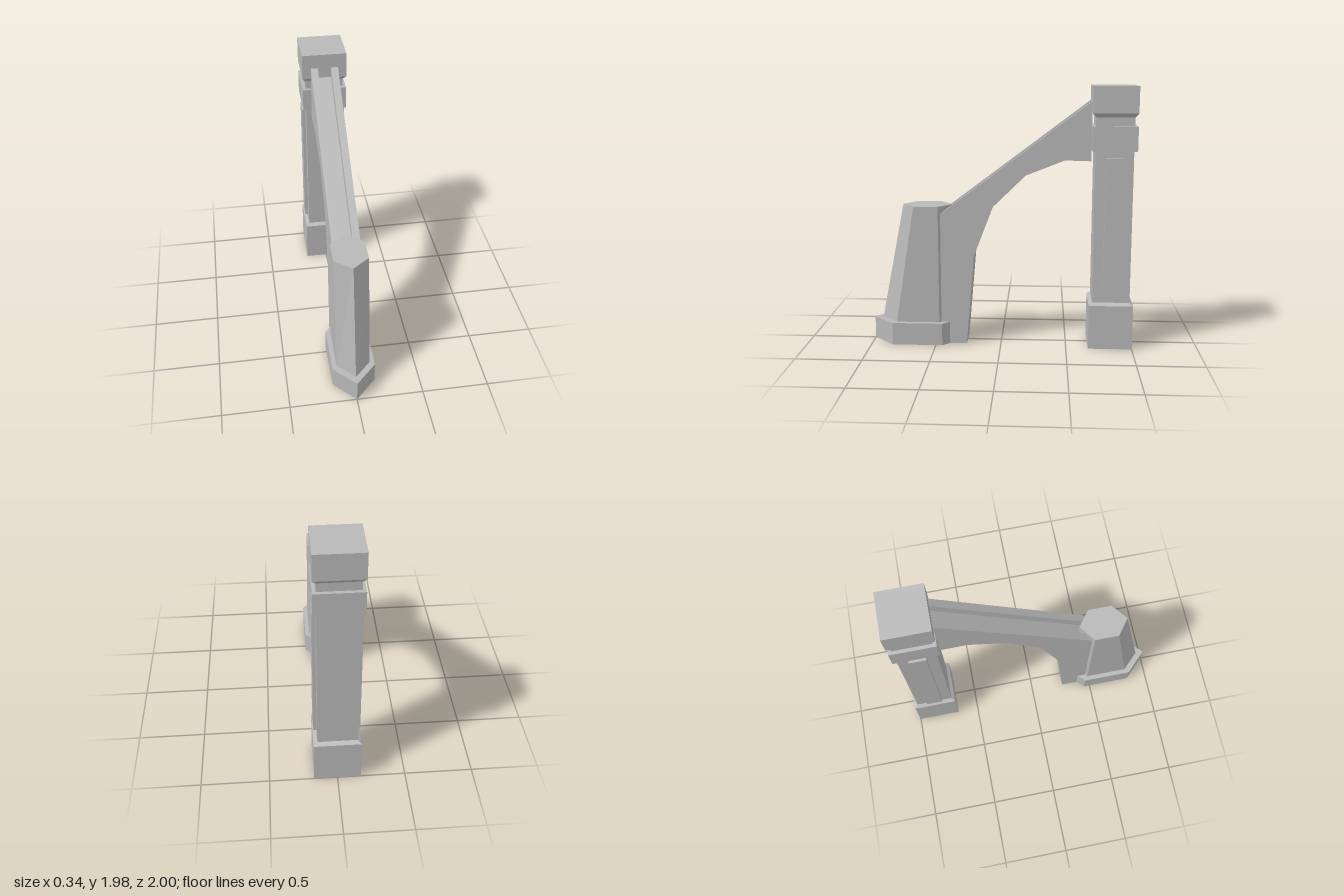
import * as THREE from 'three';

const stone = new THREE.MeshStandardMaterial({ color: 0xb8b8b8, side: THREE.DoubleSide });
stone.name = 'grey stone';

// Faceted skin over equal-length rings of [x, y, z]; open below, optionally capped at the end
function loft(name, rings, capEnd) {
  const pos = [];
  const tri = (...pts) => pts.forEach((p) => pos.push(...p));
  const n = rings[0].length;
  for (let r = 0; r < rings.length - 1; r++) {
    for (let i = 0; i < n; i++) {
      const j = (i + 1) % n;
      const a = rings[r][i], b = rings[r][j], c = rings[r + 1][j], d = rings[r + 1][i];
      // mirror the diagonal on the second half of the ring
      if (i < n / 2) { tri(a, b, d); tri(b, c, d); }
      else { tri(a, b, c); tri(a, c, d); }
    }
  }
  if (capEnd) {
    const top = rings[rings.length - 1];
    for (let i = 1; i < n - 1; i++) tri(top[0], top[i], top[i + 1]);
  }
  const geo = new THREE.BufferGeometry();
  geo.setAttribute('position', new THREE.Float32BufferAttribute(pos, 3));
  geo.computeVertexNormals();
  const mesh = new THREE.Mesh(geo, stone);
  mesh.name = name;
  return mesh;
}

// Pointed six-sided plan: front tip, front shoulder, back shoulder, back tip
const hexRing = (w, y, tip, shoulder, back, backTip) => [
  [0, y, tip], [w, y, shoulder], [w, y, back],
  [0, y, backTip], [-w, y, back], [-w, y, shoulder],
];

function createColumn() {
  const column = new THREE.Group();
  column.name = 'column';
  const z0 = -0.835;
  const square = (h, y) => {
    const d = h * 0.97;
    return [[-h, y, z0 + d], [h, y, z0 + d], [h, y, z0 - d], [-h, y, z0 - d]];
  };
  // half width and height, from plinth to capital
  const profile = [
    [0.172, 0], [0.172, 0.34], [0.145, 0.36],
    [0.145, 1.51], [0.17, 1.51], [0.17, 1.69], [0.145, 1.69],
    [0.145, 1.755], [0.17, 1.785], [0.17, 1.98],
  ];
  column.add(loft('columnShaft', profile.map(([h, y]) => square(h, y)), true));

  // raised panels on both flanks
  for (const side of [-1, 1]) {
    const panel = new THREE.Mesh(new THREE.BoxGeometry(0.04, 1.06, 0.125), stone);
    panel.name = side > 0 ? 'leftPanel' : 'rightPanel';
    panel.position.set(side * 0.15, 0.93, -0.833);
    column.add(panel);
  }
  return column;
}

// Sloping half arch with a gutter along its top
function createArch() {
  const w = 0.105, g = 0.05, depth = 0.08;
  const slope = (z) => 1.02 + (0.46 - z) * (0.85 / 1.125);
  // outer z, outer y, inner z, inner y, gutter depth
  const stations = [
    [0.46, 0, 0.265, 0, 0],
    [0.46, 0.7, 0.205, 0.7, 0],
    [0.46, 1.02, 0.06, 1.08, depth],
    [-0.185, slope(-0.185), -0.185, 1.32, depth],
    [-0.475, slope(-0.475), -0.475, 1.435, depth],
    [-0.668, slope(-0.668), -0.668, 1.43, depth],
  ];
  return loft('flyingArch', stations.map(([z, y, bz, by, d]) => [
    [-w, y, z], [-g, y, z], [-g, y - d, z], [g, y - d, z],
    [g, y, z], [w, y, z], [w, by, bz], [-w, by, bz],
  ]), false);
}

// Tapered outer pier on a wider foot
function createPier() {
  const pier = new THREE.Group();
  pier.name = 'pier';
  pier.add(loft('pierBody', [
    hexRing(0.125, 0.17, 0.935, 0.805, 0.475, 0.38),
    hexRing(0.125, 1.08, 0.755, 0.66, 0.475, 0.38),
  ], true));
  const foot = (y) => [
    [0, y, 1], [0.16, y, 0.835], [0.16, y, 0.45], [0.1, y, 0.39],
    [-0.1, y, 0.39], [-0.16, y, 0.45], [-0.16, y, 0.835],
  ];
  pier.add(loft('pierFoot', [foot(0), foot(0.173)], true));
  return pier;
}

export function createModel() {
  const model = new THREE.Group();
  model.name = 'flyingButtress';
  model.add(createColumn(), createArch(), createPier());
  return model;
}
